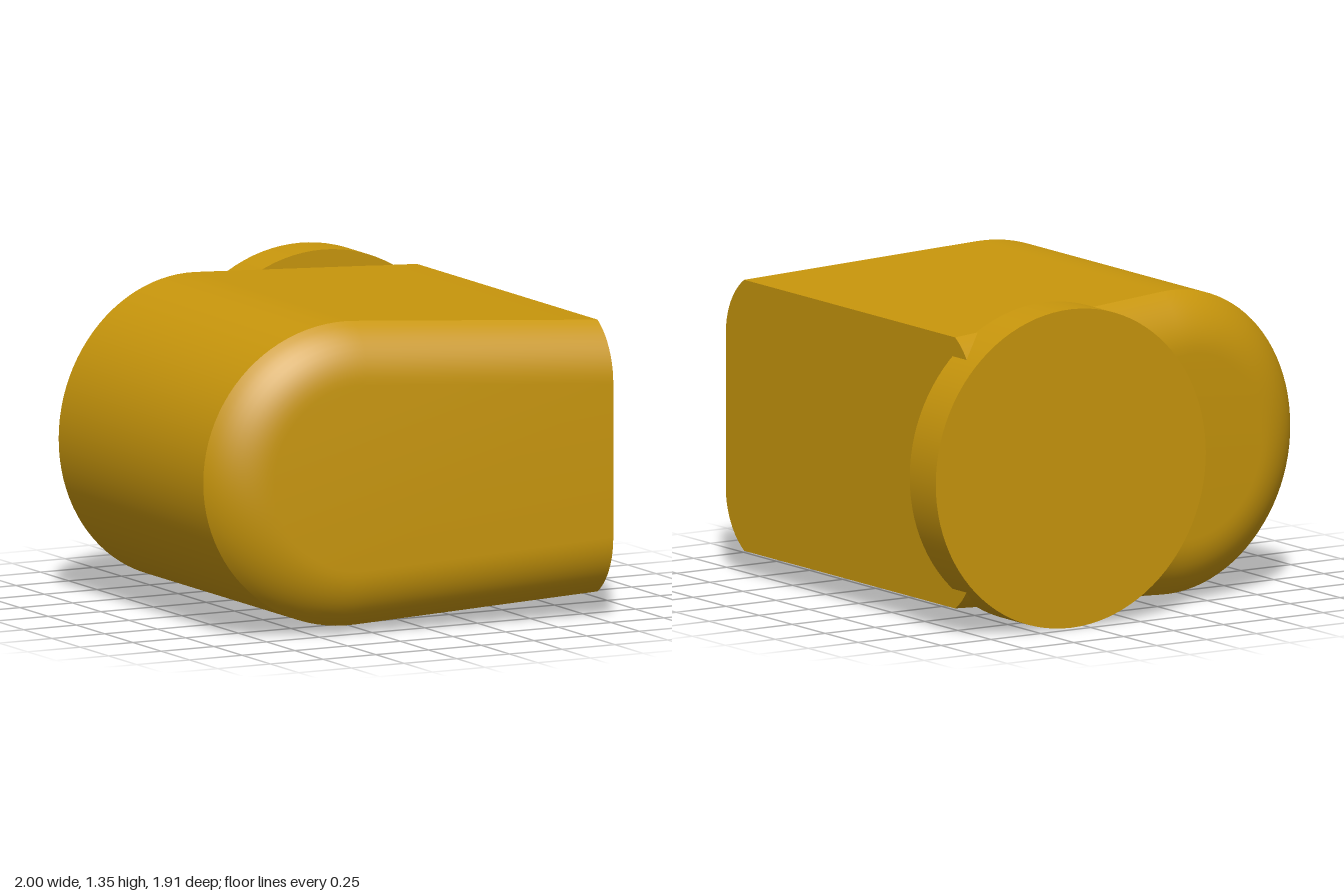
import * as THREE from 'three';
import { toCreasedNormals } from 'three/addons/utils/BufferGeometryUtils.js';

const CX = -0.355, CY = 0.678, R = 0.645; // round nose of the body
const END = 0.785, TAPER = 0.0615;        // flat end and taper angle of the sides
const INSET = 0.25, DROP = 0.14;          // width and depth of the rounded edges
const ARC = 48, STEPS = 10;

// Body outline shrunk by d, from the top of the flat end round the nose to the bottom;
// depth(x) gives the z of each point.
function ring(d, depth) {
  const r = R - d;
  const h = (r - (END - CX) * Math.sin(TAPER)) / Math.cos(TAPER);
  const pts = [[END, CY + h]];
  for (let i = 0; i <= ARC; i++) {
    const t = Math.PI / 2 - TAPER + (i / ARC) * (Math.PI + 2 * TAPER);
    pts.push([CX + r * Math.cos(t), CY + r * Math.sin(t)]);
  }
  pts.push([END, CY - h]);
  return pts.map(([x, y]) => new THREE.Vector3(x, y, depth(x)));
}

// Tapered body: rings from the back cap, over the wall, to the front cap
function bodyGeometry() {
  const edge = Math.asin(INSET / ((INSET ** 2 + DROP ** 2) / (2 * DROP)));
  const edgeR = INSET / Math.sin(edge);
  const back = [], front = [];
  for (let k = 0; k <= STEPS; k++) {
    const a = edge * (1 - k / STEPS); // from the wall to the cap
    const d = INSET - edgeR * Math.sin(a);
    const drop = edgeR * (1 - Math.cos(a));
    front.push(ring(d, x => 0.885 + 0.089 * x - drop));
    back.unshift(ring(d, x => -0.852 - 0.089 * x + drop));
  }
  const rings = [...back, ...front];
  const n = rings[0].length;
  const pos = [];
  const tri = (...v) => v.forEach(p => pos.push(p.x, p.y, p.z));

  for (let k = 0; k < rings.length - 1; k++) {
    for (let i = 0; i < n; i++) { // the last strip closes the flat end
      const j = (i + 1) % n, A = rings[k], B = rings[k + 1];
      tri(A[i], A[j], B[j]);
      tri(A[i], B[j], B[i]);
    }
  }
  // sloping flat caps
  const first = rings[0], last = rings[rings.length - 1];
  for (let i = 1; i < n - 1; i++) {
    tri(last[0], last[i], last[i + 1]);
    tri(first[0], first[i + 1], first[i]);
  }
  const geo = new THREE.BufferGeometry();
  geo.setAttribute('position', new THREE.Float32BufferAttribute(pos, 3));
  return toCreasedNormals(geo, 0.5);
}

export function createModel() {
  const group = new THREE.Group();
  const material = new THREE.MeshStandardMaterial({ color: 0xc8960c });

  const body = new THREE.Mesh(bodyGeometry(), material);
  body.name = 'body';
  group.add(body);

  // Round disc set into the back
  const disc = new THREE.Mesh(new THREE.CylinderGeometry(0.677, 0.677, 0.197, 96), material);
  disc.name = 'backDisc';
  disc.rotation.x = Math.PI / 2;
  disc.position.set(0.323, 0.677, -0.8615);
  group.add(disc);

  return group;
}
